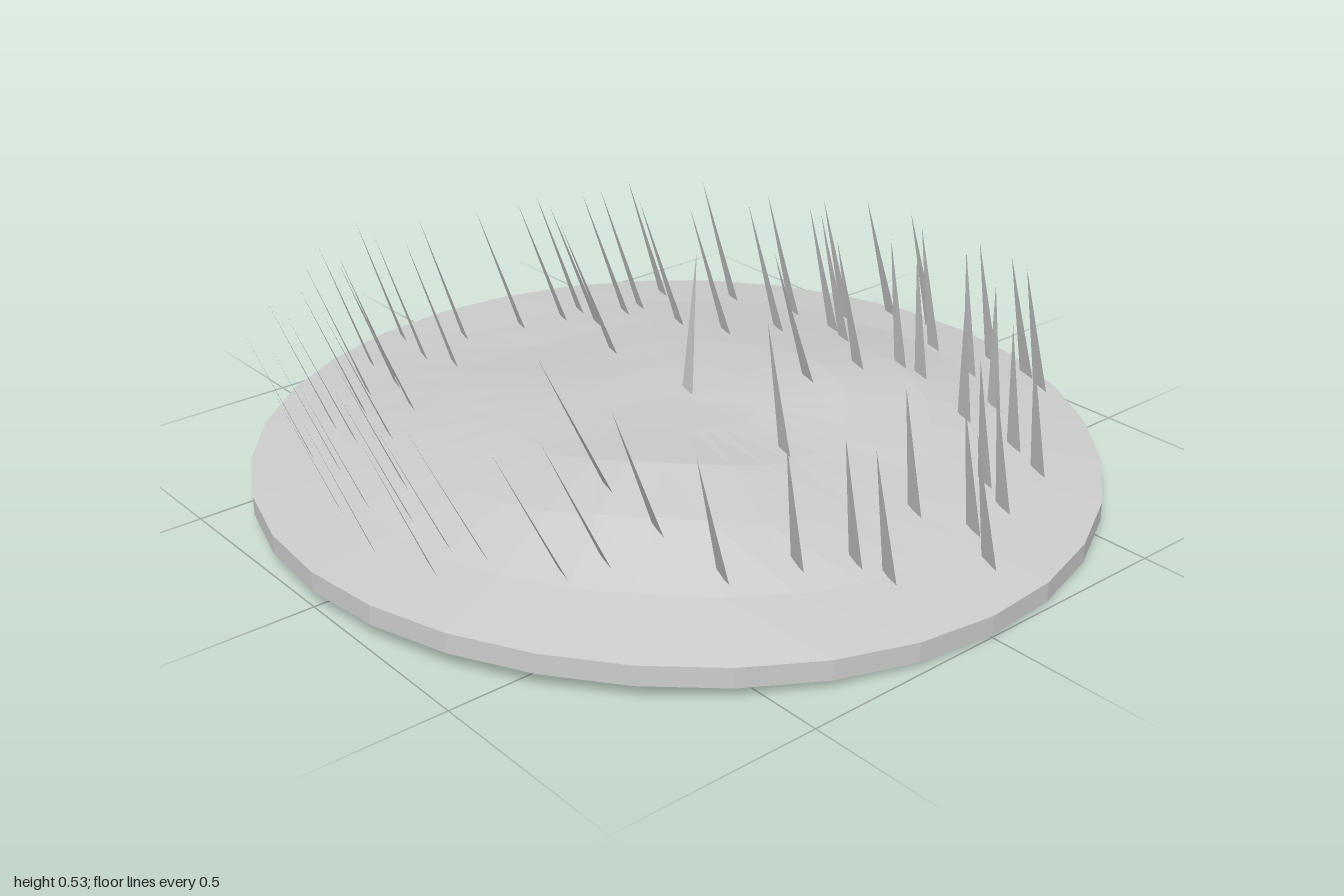
import * as THREE from 'three';

const SIDES = 32;

// Underside of the rim, dipping toward the right-hand side
const rimLow = (x, z) =>
  0.03 - 0.03 * Math.max(0, 0.95 * x - 0.31 * z) ** 3
  + 0.012 * Math.max(0, 0.4 * x + 0.92 * z) ** 4;
const rimTop = (x, z) => rimLow(x, z) + 0.047;

const bump = (x, z, cx, cz, height, width) =>
  height * Math.exp(-((x - cx) ** 2 + (z - cz) ** 2) / width ** 2);

// Height of the ground: a low dome with uneven bumps
function groundHeight(x, z) {
  const r = Math.min(1, Math.hypot(x, z));
  const inside = 1 - r * r;
  const edge = r > 0 ? rimTop(x / r, z / r) : 0.07;
  const rim = THREE.MathUtils.lerp(0.07, edge, r * r);
  const bumps = bump(x, z, 0.4, 0.4, 0.075, 0.33)
    + bump(x, z, 0.2, -0.55, 0.035, 0.33)
    + bump(x, z, -0.65, 0, -0.03, 0.3);
  return rim + 0.11 * inside ** 1.5 + bumps * Math.min(1, inside * 1.2);
}

// Faceted geometry from a list of triangles
function facets(points) {
  const geometry = new THREE.BufferGeometry().setFromPoints(points);
  geometry.computeVertexNormals();
  return geometry;
}

// Point on a ring, at a height given by a rule
function ringPoint(r, i, height) {
  const a = (i / SIDES) * Math.PI * 2;
  const x = r * Math.cos(a), z = r * Math.sin(a);
  return new THREE.Vector3(x, height(x, z), z);
}

// Adds a band of quads between two rings
function addBand(points, inner, outer) {
  for (let i = 0; i < SIDES; i++) {
    const a = inner(i), b = outer(i), c = outer(i + 1), d = inner(i + 1);
    points.push(a, d, b, b, d, c);
  }
}

// Blade root positions as x, z pairs
const ROOTS = [
  -0.19, -0.92, -0.05, -0.93, 0.2, -0.89, 0.3, -0.91, 0.37, -0.88, 0.07, -0.81, 0.24, -0.76,
  -0.22, -0.78, -0.33, -0.69, -0.15, -0.66, -0.06, -0.61, 0.16, -0.59, 0.23, -0.59, 0.41, -0.66,
  0.13, -0.47, 0.43, -0.53, 0.57, -0.55, 0.67, -0.52, 0.12, -0.31, 0.65, -0.36, 0.74, -0.32,
  0.77, -0.19, 0.66, -0.12, 0.87, -0.13, 0.36, -0.01, 0.8, 0.1, 0.73, 0.13, 0.68, 0.25,
  0.63, 0.41, -0.53, -0.65, -0.69, -0.53, -0.22, -0.53, -0.28, -0.4, -0.43, -0.37, -0.63, -0.4,
  -0.62, -0.34, -0.6, -0.23, -0.73, -0.27, -0.71, -0.2, -0.37, -0.1, -0.75, -0.09, -0.8, 0.06,
  -0.91, 0.18, -0.75, 0.22, -0.64, 0.2, -0.81, 0.34, -0.69, 0.35, -0.63, 0.38, -0.65, 0.45,
  -0.47, 0.44, -0.56, 0.52, -0.55, 0.61, -0.38, 0.56, -0.44, 0.62, -0.45, 0.73, -0.35, 0.72,
  -0.15, 0.67, -0.15, 0.77, -0.18, 0.82, -0.02, 0.74, 0.02, 0.86, 0.14, 0.75, 0.23, 0.72,
  0.19, 0.82, 0.28, 0.43, 0.46, 0.44, 0.45, 0.57, 0.41, 0.65,
];

export function createModel() {
  const model = new THREE.Group();
  const grey = new THREE.MeshStandardMaterial({ color: 0xcccccc, side: THREE.DoubleSide });
  grey.name = 'lightGrey';

  function add(parent, name, points) {
    const mesh = new THREE.Mesh(facets(points), grey);
    mesh.name = name;
    parent.add(mesh);
  }

  // Domed ground
  const ground = [];
  const radii = [0, 0.2, 0.4, 0.6, 0.8, 1];
  for (let k = 1; k < radii.length; k++) {
    const inner = (i) => ringPoint(radii[k - 1], i, groundHeight);
    const outer = (i) => ringPoint(radii[k], i, groundHeight);
    if (k > 1) addBand(ground, inner, outer);
    else for (let i = 0; i < SIDES; i++) ground.push(inner(0), outer(i + 1), outer(i));
  }
  add(model, 'ground', ground);

  // Rim wall
  const rim = [];
  addBand(rim, (i) => ringPoint(1, i, rimTop), (i) => ringPoint(1, i, rimLow));
  add(model, 'rim', rim);

  // Underside
  const underside = [];
  for (let i = 0; i < SIDES; i++) {
    underside.push(new THREE.Vector3(0, 0.025, 0), ringPoint(1, i, rimLow), ringPoint(1, i + 1, rimLow));
  }
  add(model, 'underside', underside);

  // Grass: flat pointed blades
  const grass = new THREE.Group();
  grass.name = 'grass';
  model.add(grass);
  function addBlade(x, z, leanX, leanZ) {
    const y = groundHeight(x, z);
    add(grass, 'grassBlade', [
      new THREE.Vector3(x - 0.028, y, z - 0.008),
      new THREE.Vector3(x + 0.028, y, z + 0.008),
      new THREE.Vector3(x + leanX, y + 0.325, z + leanZ),
    ]);
  }
  // Each blade leans front-right of the model, and away from the slope under it
  const step = 0.05;
  for (let i = 0; i < ROOTS.length; i += 2) {
    const x = ROOTS[i], z = ROOTS[i + 1];
    const slopeX = (groundHeight(x + step, z) - groundHeight(x - step, z)) / (2 * step);
    const slopeZ = (groundHeight(x, z + step) - groundHeight(x, z - step)) / (2 * step);
    addBlade(x, z, -0.055 - 0.3 * slopeX, 0.075 - 0.3 * slopeZ);
  }
  // Middle blade leans backward
  addBlade(-0.01, -0.04, -0.05, -0.07);

  return model;
}
